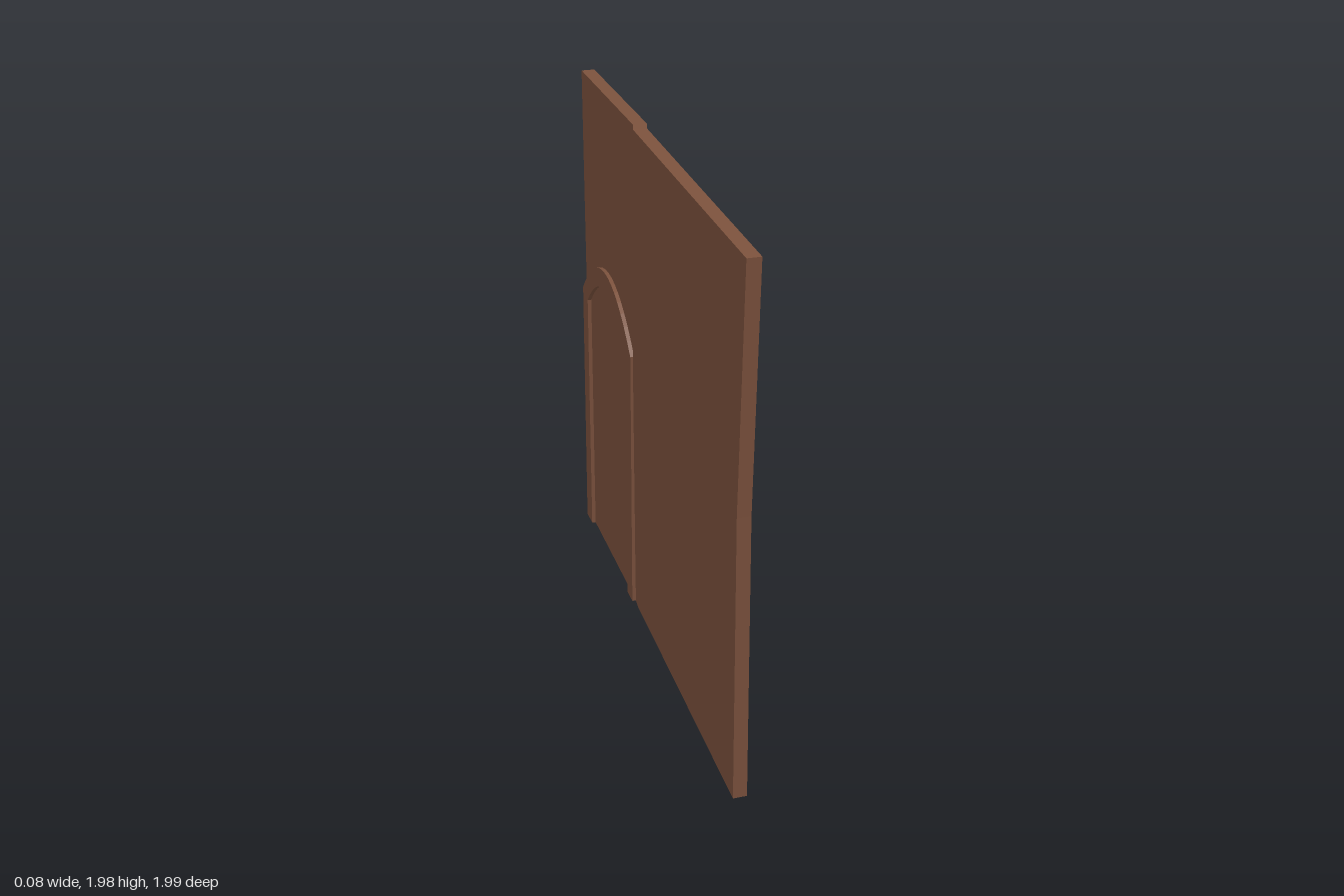
import * as THREE from 'three';

// Uneven wall slab: each column holds rows (bottom, middle, top) of
// [y, x of the -x face, z there, x of the +x face, z there].
const COLUMNS = [
  [[0, -0.03, 0.97, 0.02, 0.97], [1.09, -0.04, 0.97, 0.008, 0.97], [1.957, -0.04, 1, 0.008, 1]],
  [[0.03, -0.03, -0.2, 0.02, -0.2], [1.09, -0.035, -0.23, 0.012, -0.23], [1.98, -0.04, -0.19, 0.01, -0.19]],
  [[0.03, -0.025, -0.25, 0.023, -0.25], [1.09, -0.025, -0.25, 0.023, -0.25], [1.98, -0.025, -0.24, 0.025, -0.24]],
  [[0.03, -0.025, -0.99, 0.022, -0.965], [1.09, -0.025, -0.955, 0.022, -0.905], [1.98, -0.025, -0.968, 0.025, -0.968]],
];

function wallGeometry() {
  const positions = [];
  const near = (c, r) => { const p = COLUMNS[c][r]; return [p[3], p[0], p[4]]; };
  const far = (c, r) => { const p = COLUMNS[c][r]; return [p[1], p[0], p[2]]; };
  // Corners run counter-clockwise seen from outside
  const quad = (a, b, c, d) => positions.push(...a, ...b, ...c, ...a, ...c, ...d);
  const last = COLUMNS.length - 1;
  for (let c = 0; c < last; c++) {
    for (let r = 0; r < 2; r++) {
      quad(near(c, r), near(c + 1, r), near(c + 1, r + 1), near(c, r + 1));
      quad(far(c + 1, r), far(c, r), far(c, r + 1), far(c + 1, r + 1));
    }
    quad(near(c, 2), near(c + 1, 2), far(c + 1, 2), far(c, 2));
    quad(far(c, 0), far(c + 1, 0), near(c + 1, 0), near(c, 0));
  }
  for (let r = 0; r < 2; r++) {
    quad(far(0, r), near(0, r), near(0, r + 1), far(0, r + 1));
    quad(near(last, r), far(last, r), far(last, r + 1), near(last, r + 1));
  }
  const geometry = new THREE.BufferGeometry();
  geometry.setAttribute('position', new THREE.Float32BufferAttribute(positions, 3));
  geometry.computeVertexNormals();
  return geometry;
}

// Arched door surround, drawn as one closed outline open at the floor
function frameGeometry(depth) {
  const base = 0.03;
  const shape = new THREE.Shape();
  shape.moveTo(0.247, base);
  shape.lineTo(0.247, 1.095);
  shape.quadraticCurveTo(0.425, 1.29, 0.602, 1.29);
  shape.quadraticCurveTo(0.78, 1.29, 0.957, 1.095);
  shape.lineTo(0.967, base);
  shape.lineTo(0.885, base);
  shape.lineTo(0.885, 1.065);
  shape.quadraticCurveTo(0.745, 1.215, 0.602, 1.215);
  shape.quadraticCurveTo(0.46, 1.215, 0.32, 1.065);
  shape.lineTo(0.32, base);
  shape.closePath();
  const geometry = new THREE.ExtrudeGeometry(shape, { depth, bevelEnabled: false, curveSegments: 8 });
  return geometry.rotateY(Math.PI / 2); // outline runs towards -z, depth towards +x
}

export function createModel() {
  const group = new THREE.Group();
  group.name = 'wallWithArchedDoor';
  const brown = new THREE.MeshStandardMaterial({ color: 0x7c523d });
  brown.name = 'brown';

  const wall = new THREE.Mesh(wallGeometry(), brown);
  wall.name = 'wall';
  group.add(wall);

  // One surround on each face of the wall
  for (const [name, from, to] of [['rightDoorFrame', 0.012, 0.037], ['leftDoorFrame', -0.04, -0.015]]) {
    const frame = new THREE.Mesh(frameGeometry(to - from), brown);
    frame.name = name;
    frame.position.x = from;
    group.add(frame);
  }
  return group;
}
